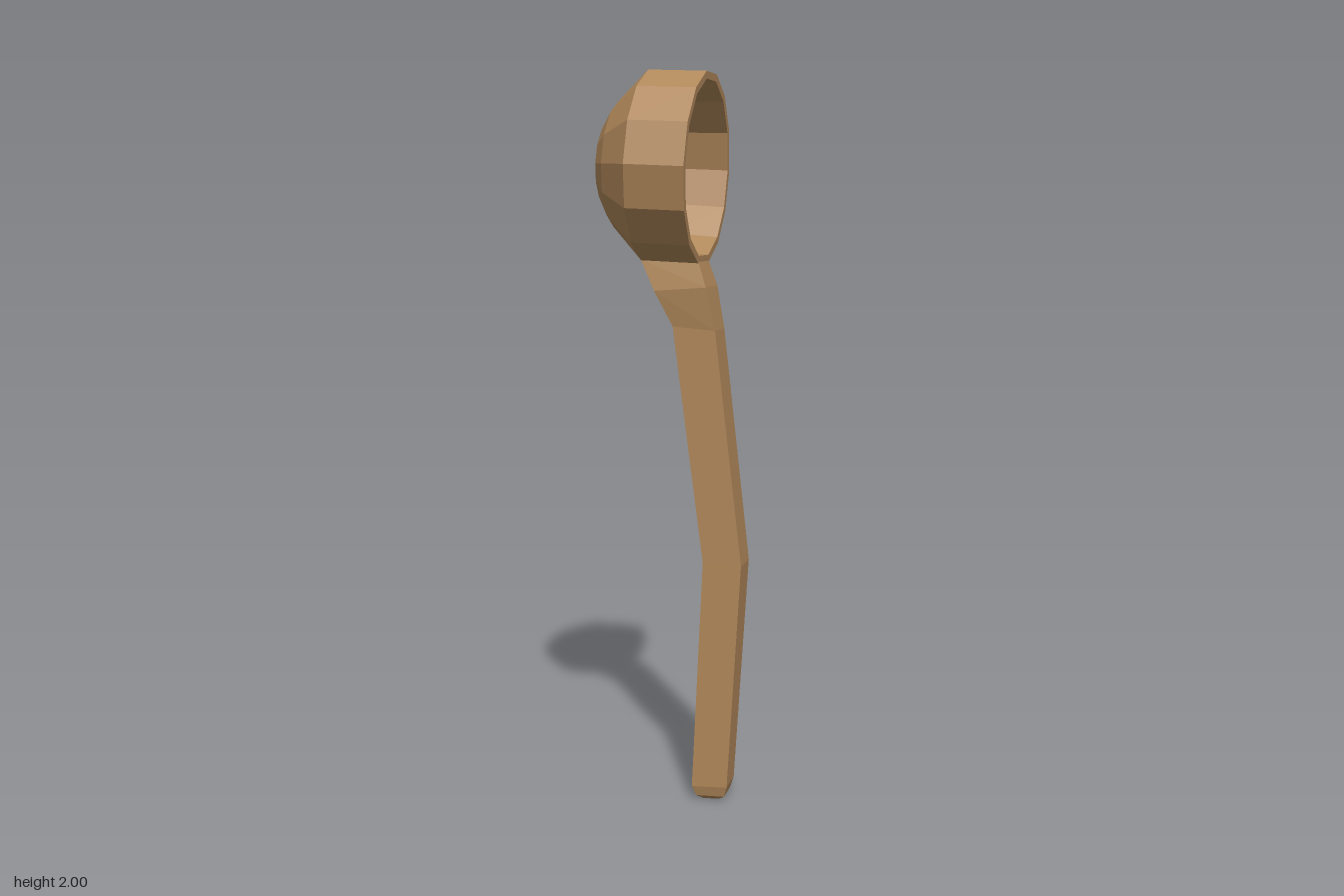
import * as THREE from 'three';

// Loft rectangular sections [leftX, leftY, rightX, rightY, halfDepth] from bottom to top
function loftRects(sections) {
  const pos = [], idx = [];
  for (const [lx, ly, rx, ry, d] of sections)
    pos.push(lx, ly, -d, rx, ry, -d, rx, ry, d, lx, ly, d);
  for (let s = 0; s < sections.length - 1; s++) {
    for (let k = 0; k < 4; k++) {
      const a = s * 4 + k, b = s * 4 + (k + 1) % 4;
      idx.push(a, a + 4, b + 4, a, b + 4, b);
    }
  }
  const t = (sections.length - 1) * 4;
  idx.push(0, 1, 2, 0, 2, 3, t, t + 2, t + 1, t, t + 3, t + 2);
  const indexed = new THREE.BufferGeometry();
  indexed.setAttribute('position', new THREE.Float32BufferAttribute(pos, 3));
  indexed.setIndex(idx);
  const geo = indexed.toNonIndexed();
  geo.computeVertexNormals();
  return geo;
}

export function createModel() {
  const group = new THREE.Group();
  group.name = 'ladle';
  const wood = new THREE.MeshStandardMaterial({ color: 0xb0885a, flatShading: true });
  wood.name = 'wood';

  // Bowl: closed profile, outside up to the rim and back down the inside
  const profile = [
    [0, -0.278], [0.11, -0.278], [0.17, -0.243], [0.255, -0.158], [0.255, 0],
    [0.235, 0], [0.228, -0.13], [0.155, -0.222], [0.095, -0.25], [0, -0.25],
  ].map(([r, y]) => new THREE.Vector2(r, y));
  const bowl = new THREE.Mesh(new THREE.LatheGeometry(profile, 14), wood);
  bowl.name = 'bowl';
  bowl.rotation.z = -Math.PI / 2 - 0.043; // opens towards +x, tipped slightly down
  bowl.position.set(0.085, 1.747, 0);
  group.add(bowl);

  // Handle: bent square bar with a bevelled foot and a flared neck
  const handle = new THREE.Mesh(loftRects([
    [0.085, 0, 0.13, 0.003, 0.025],
    [0.067, 0.012, 0.147, 0.015, 0.038],
    [0.056, 0.04, 0.156, 0.045, 0.045],
    [0.087, 0.685, 0.194, 0.68, 0.05],
    [0.003, 1.33, 0.12, 1.32, 0.054],
    [-0.045, 1.425, 0.097, 1.435, 0.067],
    [-0.085, 1.509, 0.075, 1.502, 0.056],
  ]), wood);
  handle.name = 'handle';
  group.add(handle);

  return group;
}
